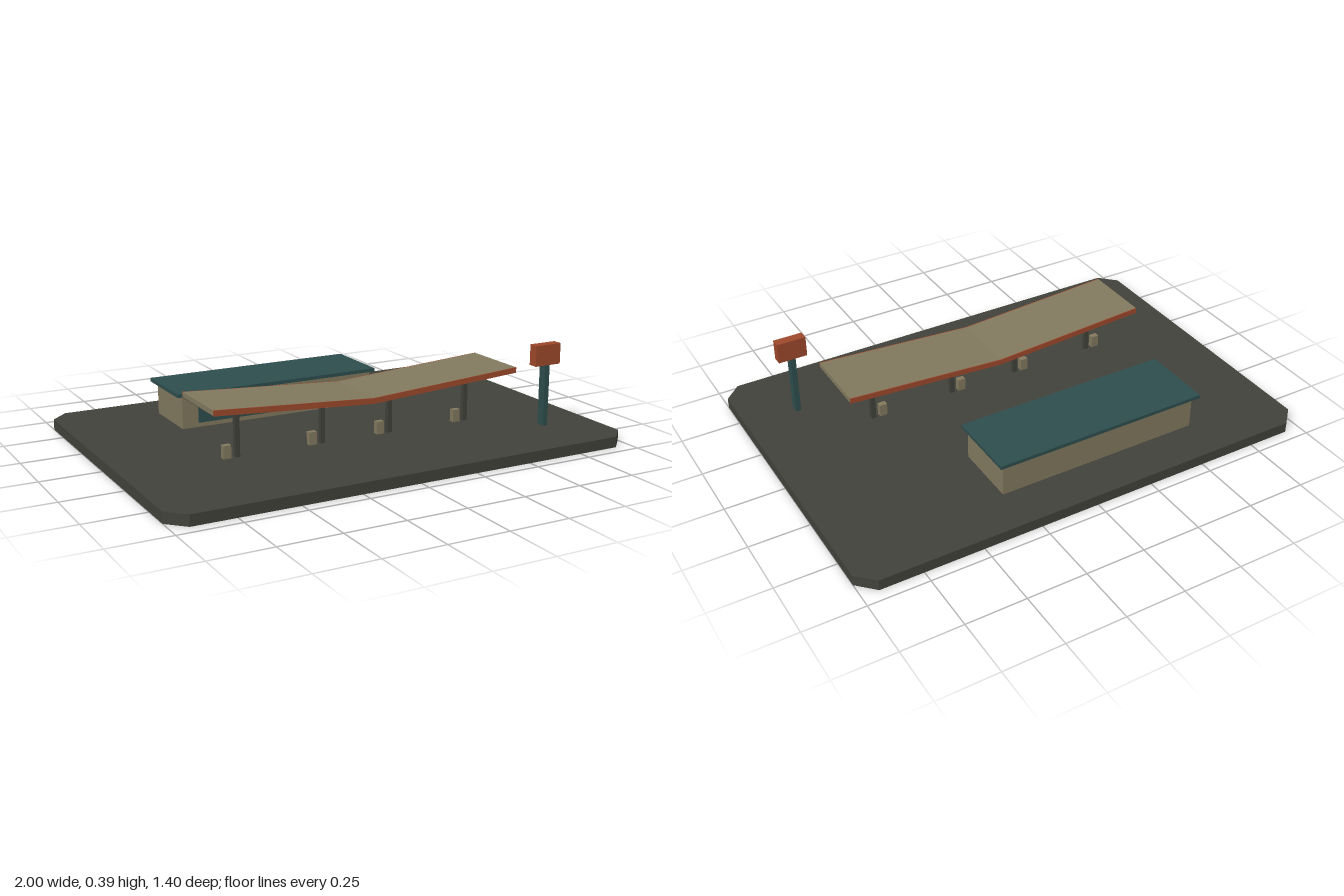
import * as THREE from 'three';

const mat = (name, color) => {
  const m = new THREE.MeshStandardMaterial({ color });
  m.name = name;
  return m;
};

export function createModel() {
  const asphalt = mat('asphalt', 0x43433c);
  const beige = mat('beige', 0x837a5f);
  const teal = mat('teal', 0x2f4f4f);
  const rust = mat('rust', 0xa04a2c);
  const glass = mat('doorGlass', 0x6d7472);

  const model = new THREE.Group();
  model.name = 'fillingStation';
  const add = (name, geometry, material, parent = model) => {
    const mesh = new THREE.Mesh(geometry, material);
    mesh.name = name;
    parent.add(mesh);
    return mesh;
  };
  // box given by its extents on each axis
  const box = (name, material, [x0, x1], [y0, y1], [z0, z1], parent) => {
    const mesh = add(name, new THREE.BoxGeometry(x1 - x0, y1 - y0, z1 - z0), material, parent);
    mesh.position.set((x0 + x1) / 2, (y0 + y1) / 2, (z0 + z1) / 2);
    return mesh;
  };
  const polygon = (pts) => new THREE.Shape(pts.map(([x, y]) => new THREE.Vector2(x, y)));
  const extrude = (pts, depth) =>
    new THREE.ExtrudeGeometry(polygon(pts), { depth, bevelEnabled: false });

  // forecourt slab with cut corners
  const G = 0.045, W = 1, D = 0.7, C = 0.07;
  const slab = extrude([
    [-W + C, -D], [W - C, -D], [W, -D + C], [W, D - C],
    [W - C, D], [-W + C, D], [-W, D - C], [-W, -D + C],
  ], G);
  slab.rotateX(-Math.PI / 2);
  add('forecourt', slab, asphalt);

  // shop
  const shop = new THREE.Group();
  shop.name = 'shop';
  model.add(shop);
  box('shopWalls', beige, [-0.573, 0.313], [G, 0.187], [-0.51, -0.235], shop);
  box('shopRoof', teal, [-0.598, 0.333], [0.185, 0.2], [-0.53, -0.22], shop);
  box('shopWindow', teal, [-0.503, 0.107], [0.064, 0.15], [-0.237, -0.231], shop);
  box('shopDoor', glass, [0.16, 0.283], [G, 0.15], [-0.237, -0.231], shop);

  // shallow V canopy: deck, dark soffit and coloured fascias
  const canopy = new THREE.Group();
  canopy.name = 'canopy';
  model.add(canopy);
  const X = 0.682, MID = 0.22, END = 0.263, T = 0.023;
  const vBand = (lo, hi) => [
    [-X, END + lo], [0, MID + lo], [X, END + lo],
    [X, END + hi], [0, MID + hi], [-X, END + hi],
  ];
  const band = (name, material, lo, hi, z0, z1) => {
    add(name, extrude(vBand(lo, hi), z1 - z0), material, canopy).position.z = z0;
  };
  band('canopyDeck', beige, 0.002, T, 0.048, 0.341);
  band('canopySoffit', asphalt, 0, 0.002, 0.048, 0.341);
  band('frontFascia', rust, 0, T, 0.341, 0.345);
  band('backFascia', rust, 0, T, 0.044, 0.048);

  // canopy posts, each with a pump beside it
  for (const x of [-0.527, -0.156, 0.154, 0.524]) {
    const top = MID + (END - MID) * Math.abs(x) / X + 0.003;
    box('canopyPost', asphalt, [x - 0.01, x + 0.01], [G, top], [0.19, 0.21]);
    box('pump', beige, [x - 0.061, x - 0.028], [G, 0.098], [0.188, 0.212]);
  }

  // roadside sign
  const sign = new THREE.Group();
  sign.name = 'roadSign';
  model.add(sign);
  box('signPole', teal, [0.762, 0.785], [G, 0.305], [0.398, 0.434], sign);
  box('signPanel', rust, [0.712, 0.835], [0.304, 0.391], [0.395, 0.436], sign);

  return model;
}
